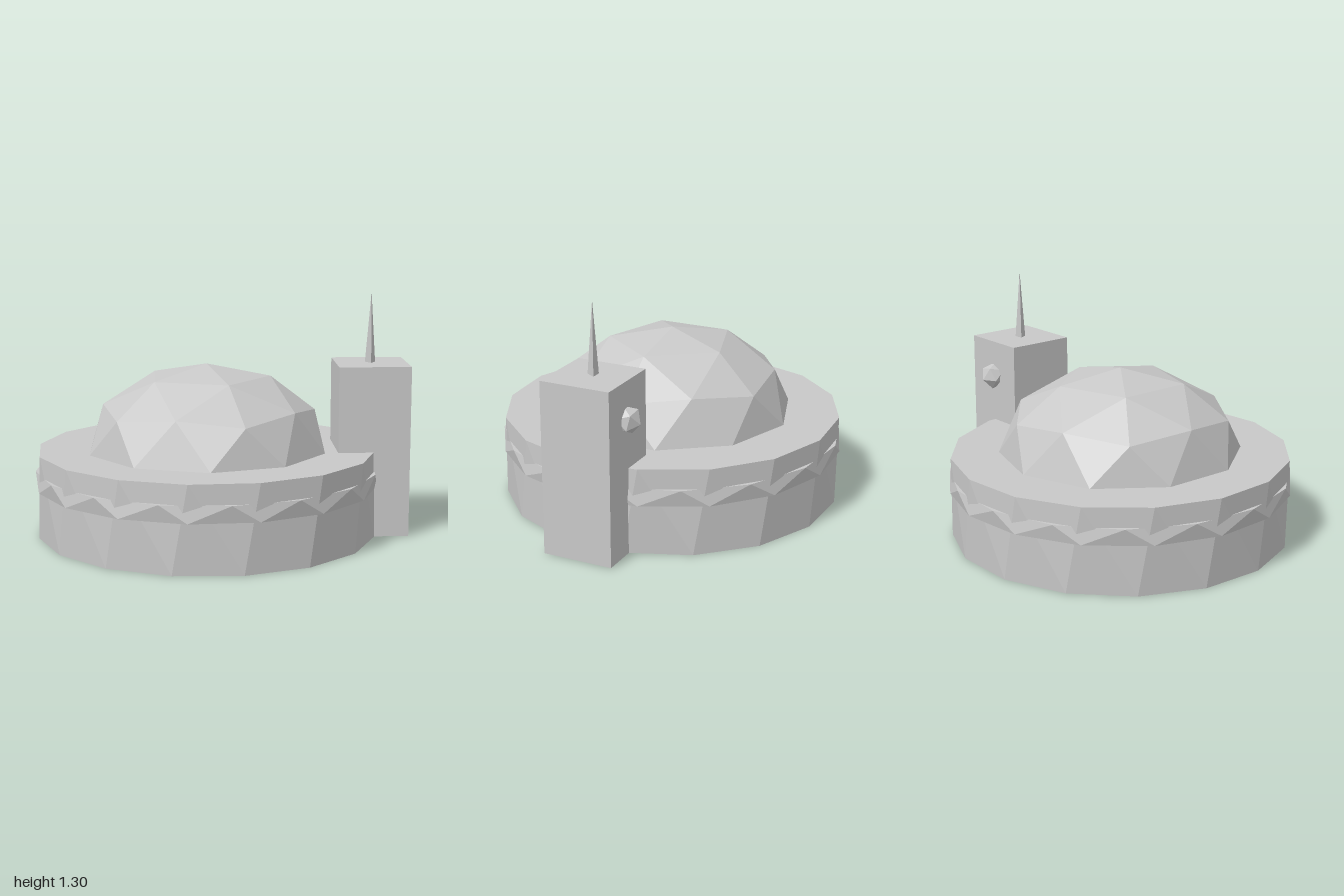
import * as THREE from 'three';
import { ConvexGeometry } from 'three/addons/geometries/ConvexGeometry.js';

const SIDES = 16;
const CENTRE_X = -0.08;

// One ring of corners; the offset in degrees runs from +x towards +z
function ring(radius, y, offset) {
  return Array.from({ length: SIDES }, (_, i) => {
    const a = THREE.MathUtils.degToRad(offset + (i * 360) / SIDES);
    return new THREE.Vector3(radius * Math.cos(a), y, radius * Math.sin(a));
  });
}

export function createModel() {
  const model = new THREE.Group();
  model.name = 'observatory';
  const stone = new THREE.MeshStandardMaterial({ color: 0xc8c8c8, flatShading: true });
  stone.name = 'pale grey stone';

  function add(name, geometry, x, y, z) {
    const mesh = new THREE.Mesh(geometry, stone);
    mesh.name = name;
    mesh.position.set(x, y, z);
    model.add(mesh);
    return mesh;
  }

  // Slightly twisted drum
  add('drum', new ConvexGeometry([...ring(0.915, 0, 12.5), ...ring(0.915, 0.46, 7.5)]), CENTRE_X, 0, 0);

  // Zigzag belt that surfaces between the drum's corners
  add('belt', new ConvexGeometry([...ring(0.923, 0.265, 7.5), ...ring(0.923, 0.355, 16.5)]), CENTRE_X, 0, 0);

  // Flattened faceted dome, lower half sunk into the drum
  const dome = new THREE.IcosahedronGeometry(1, 1);
  dome.rotateZ(-Math.atan(2 / (1 + Math.sqrt(5))));
  dome.scale(0.655, 0.458, 0.655);
  add('dome', dome, CENTRE_X, 0.46, 0);

  // Square tower beside the drum
  add('tower', new THREE.BoxGeometry(0.385, 0.92, 0.38), 0.8075, 0.46, 0);

  // Thin three-sided spire
  add('spire', new THREE.ConeGeometry(0.032, 0.38, 3), 0.805, 1.11, 0);

  // Faceted ball set in the back of the tower
  const ball = add('towerBall', new THREE.IcosahedronGeometry(0.075, 0), 0.812, 0.72, -0.19);
  ball.rotation.set(0.3, 0.2, 0.4);

  return model;
}
